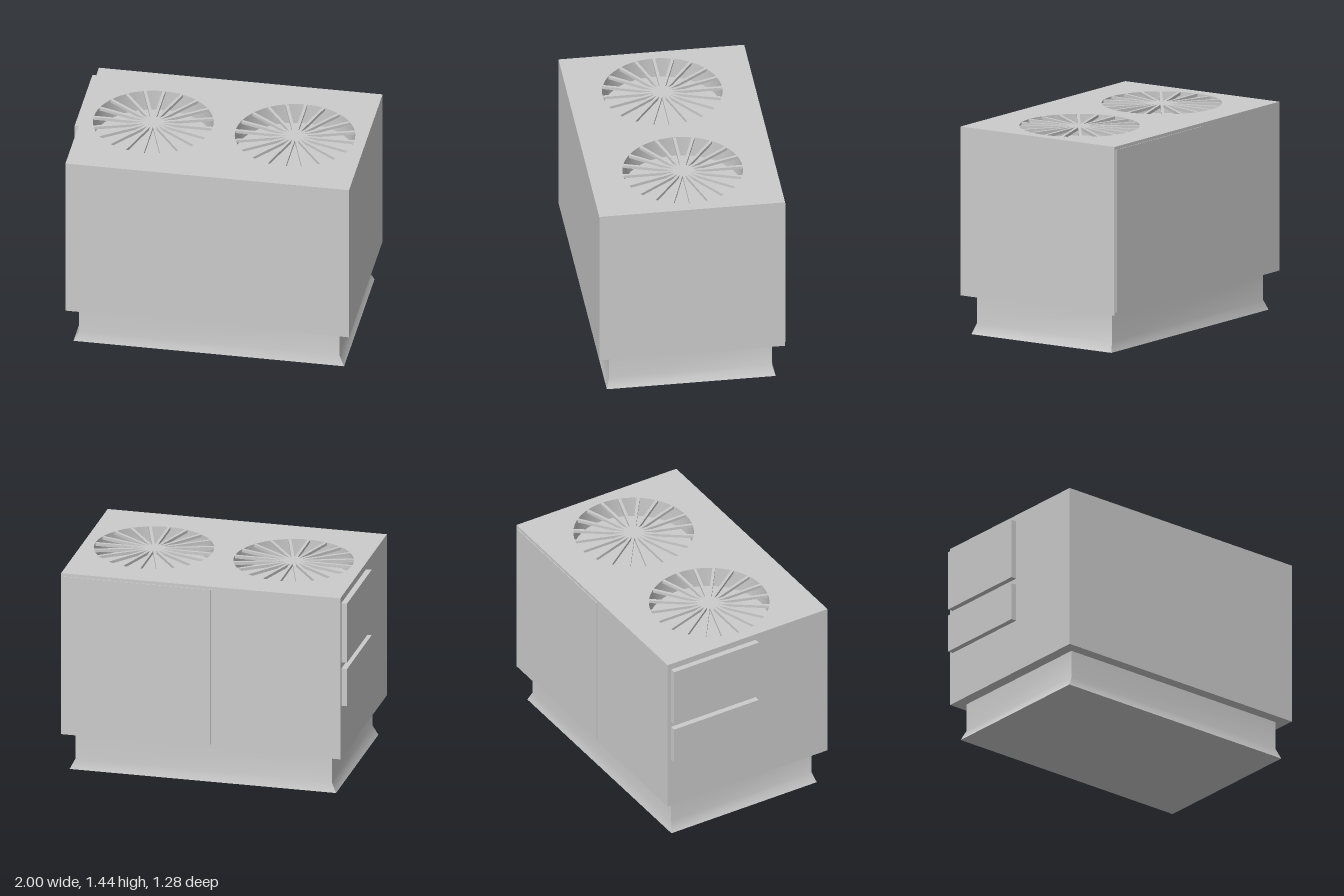
import * as THREE from 'three';
import { toCreasedNormals } from 'three/addons/utils/BufferGeometryUtils.js';

const CX = 0.02;                       // cabinet centre in x
const W = 1.96, D = 1.276;             // cabinet footprint
const BOTTOM = 0.27, TOP = 1.44;       // cabinet height range
const WELL = 0.15;                     // depth of the fan openings
const FAN_X = [-0.47, 0.51], FAN_Z = -0.005, FAN_R = 0.41;

const material = new THREE.MeshStandardMaterial({ color: 0xcccccc });

function add(parent, name, geometry, x = 0, y = 0, z = 0) {
  const mesh = new THREE.Mesh(geometry, material);
  mesh.name = name;
  mesh.position.set(x, y, z);
  parent.add(mesh);
  return mesh;
}

// One curb wall: rows of [y, half width, half depth], smooth from row to row
function curbWall(rows, a, b) {
  const pos = [], index = [];
  rows.forEach(([y, hx, hz], i) => {
    for (const [sx, sz] of [a, b]) pos.push(sx * hx, y, sz * hz);
    if (i) {
      const n = 2 * (i - 1);
      index.push(n, n + 1, n + 3, n, n + 3, n + 2);
    }
  });
  const geo = new THREE.BufferGeometry();
  geo.setAttribute('position', new THREE.Float32BufferAttribute(pos, 3));
  geo.setIndex(index);
  geo.computeVertexNormals();
  return geo;
}

// Upper cabinet slab with two round openings
function topSlab() {
  const x0 = CX - W / 2, x1 = CX + W / 2, h = D / 2;
  const shape = new THREE.Shape([[x0, -h], [x1, -h], [x1, h], [x0, h]].map(p => new THREE.Vector2(...p)));
  for (const x of FAN_X) {
    shape.holes.push(new THREE.Path().absarc(x, -FAN_Z, FAN_R, 0, Math.PI * 2, true));
  }
  const geo = new THREE.ExtrudeGeometry(shape, { depth: WELL, bevelEnabled: false, curveSegments: 32 });
  geo.rotateX(-Math.PI / 2);
  return toCreasedNormals(geo, 0.5);
}

export function createModel() {
  const model = new THREE.Group();
  model.name = 'rooftopUnit';

  // Flared curb
  const curb = new THREE.Group();
  curb.name = 'curb';
  curb.position.x = CX;
  model.add(curb);
  const rows = [[0, 0.935, 0.58], [0.07, 0.9, 0.56], [BOTTOM, 0.9, 0.56]];
  const corners = [[-1, 1], [1, 1], [1, -1], [-1, -1]];
  corners.forEach((c, i) => add(curb, 'curbWall', curbWall(rows, c, corners[(i + 1) % 4])));
  add(curb, 'curbBottom', new THREE.PlaneGeometry(1.87, 1.16).rotateX(Math.PI / 2));

  // Cabinet
  const lowerH = TOP - WELL - BOTTOM;
  add(model, 'cabinet', new THREE.BoxGeometry(W, lowerH, D), CX, BOTTOM + lowerH / 2, 0);
  add(model, 'cabinetTop', topSlab(), 0, TOP - WELL, 0);

  // Fan guards: bars crossing at the centre of each opening
  for (const x of FAN_X) {
    const guard = new THREE.Group();
    guard.name = 'fanGuard';
    guard.position.set(x, TOP - 0.011, FAN_Z);
    model.add(guard);
    for (let i = 0; i < 10; i++) {
      add(guard, 'guardBar', new THREE.BoxGeometry(FAN_R * 2, 0.02, 0.02)).rotation.y = i * Math.PI / 10;
    }
  }

  // Back access door
  add(model, 'accessDoor', new THREE.BoxGeometry(1.035, 1.125, 0.01), 0.47, 0.855, -D / 2);

  // Raised panels on the right side
  for (const [y0, y1] of [[0.965, 1.395], [0.65, 0.92]]) {
    add(model, 'sidePanel', new THREE.BoxGeometry(0.04, y1 - y0, 0.675), -0.98, (y0 + y1) / 2, -0.2725);
  }

  return model;
}
